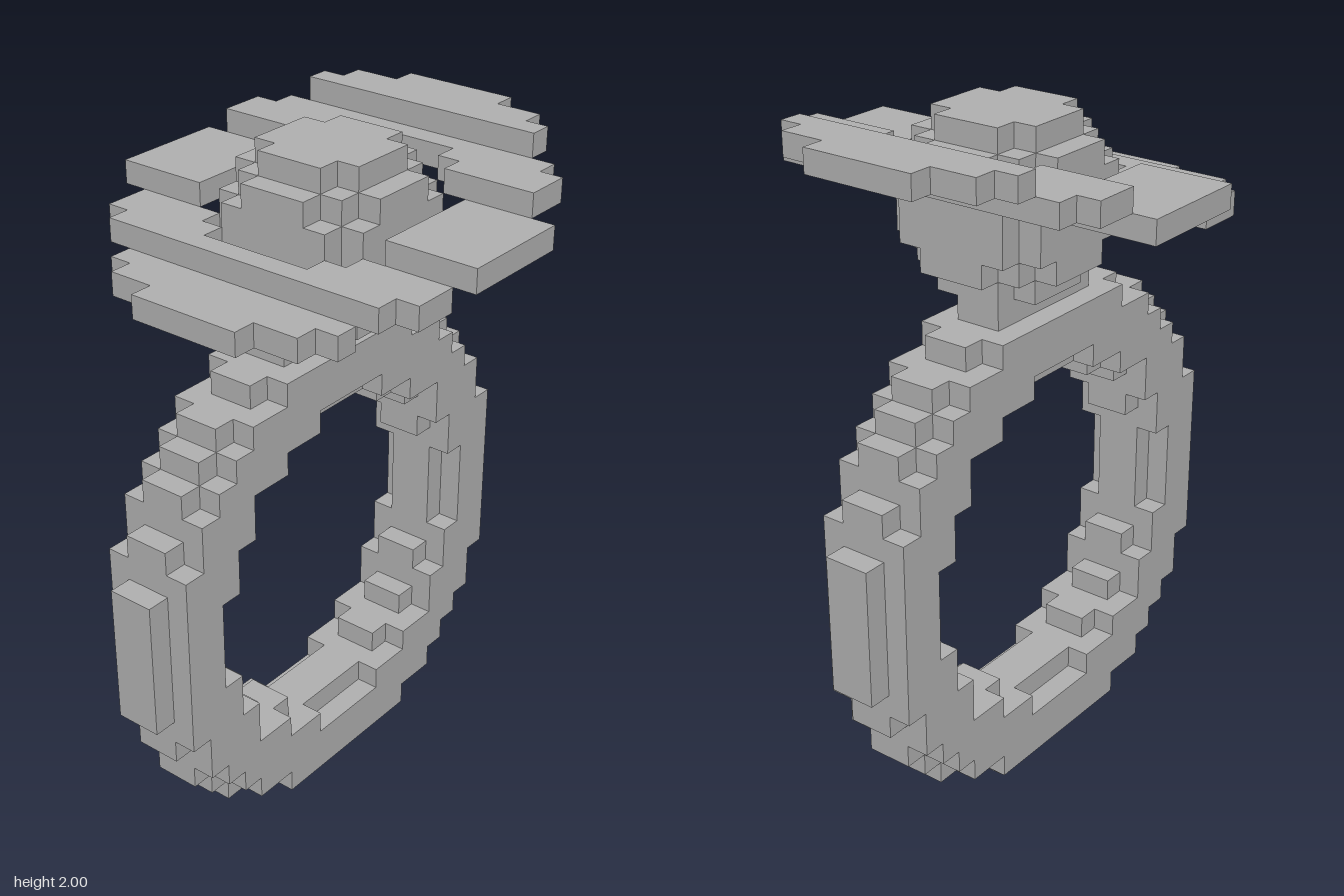
import * as THREE from 'three';

const U = 2 / 29;                 // edge of one cube
const SIZE = [22, 29, 17];        // cubes along x, y, z

// hoop: a band four cubes deep, whose two middle layers are wider
function inHoop(i, j, k) {
  if (k < 6 || k > 9) return false;
  const d = (i - 10.5) ** 2 + (j - 10.5) ** 2;
  return k === 7 || k === 8 ? d > 52 && d < 118 : d > 61.5 && d < 106;
}

// globe: a ball seven cubes across on top of the hoop
function inGlobe(i, j, k) {
  return (i - 11) ** 2 + (j - 25) ** 2 + (k - 8) ** 2 < 15;
}

// tilted disc: a flat ring that climbs in five steps along x
function inDisc(i, j, k) {
  const dx = i - 11;
  const d = dx ** 2 + (k - 8) ** 2;
  const step = Math.sign(dx) * (Math.abs(dx) > 5 ? 2 : Math.abs(dx) > 2 ? 1 : 0);
  return j === 26 + step && d > 24 && d < 70;
}

const PARTS = { hoop: inHoop, globe: inGlobe, tiltedDisc: inDisc };
const isSolid = (c) => Object.values(PARTS).some((test) => test(...c));

// builds the exposed cube faces of one part
function cubeGeometry(test) {
  const pos = [], nor = [], index = [];
  const addFace = (cell, axis, dir) => {
    const a = (axis + 1) % 3, b = (axis + 2) % 3, base = pos.length / 3;
    for (const [s, t] of [[0, 0], [1, 0], [1, 1], [0, 1]]) {
      const p = [...cell];
      if (dir > 0) p[axis] += 1;
      p[a] += s;
      p[b] += t;
      pos.push((p[0] - SIZE[0] / 2) * U, p[1] * U, (p[2] - SIZE[2] / 2) * U);
      const n = [0, 0, 0];
      n[axis] = dir;
      nor.push(...n);
    }
    const order = dir > 0 ? [0, 1, 2, 0, 2, 3] : [0, 2, 1, 0, 3, 2];
    index.push(...order.map((o) => base + o));
  };
  for (let i = 0; i < SIZE[0]; i++)
    for (let j = 0; j < SIZE[1]; j++)
      for (let k = 0; k < SIZE[2]; k++) {
        if (!test(i, j, k)) continue;
        for (let axis = 0; axis < 3; axis++)
          for (const dir of [-1, 1]) {
            const next = [i, j, k];
            next[axis] += dir;
            if (!isSolid(next)) addFace([i, j, k], axis, dir);
          }
      }
  const g = new THREE.BufferGeometry();
  g.setAttribute('position', new THREE.Float32BufferAttribute(pos, 3));
  g.setAttribute('normal', new THREE.Float32BufferAttribute(nor, 3));
  g.setIndex(index);
  return g;
}

export function createModel() {
  const group = new THREE.Group();
  group.name = 'planetRing';
  const grey = new THREE.MeshStandardMaterial({ color: 0xb2b2b2 });
  grey.name = 'grey';
  for (const [name, test] of Object.entries(PARTS)) {
    const mesh = new THREE.Mesh(cubeGeometry(test), grey);
    mesh.name = name;
    group.add(mesh);
  }
  return group;
}
